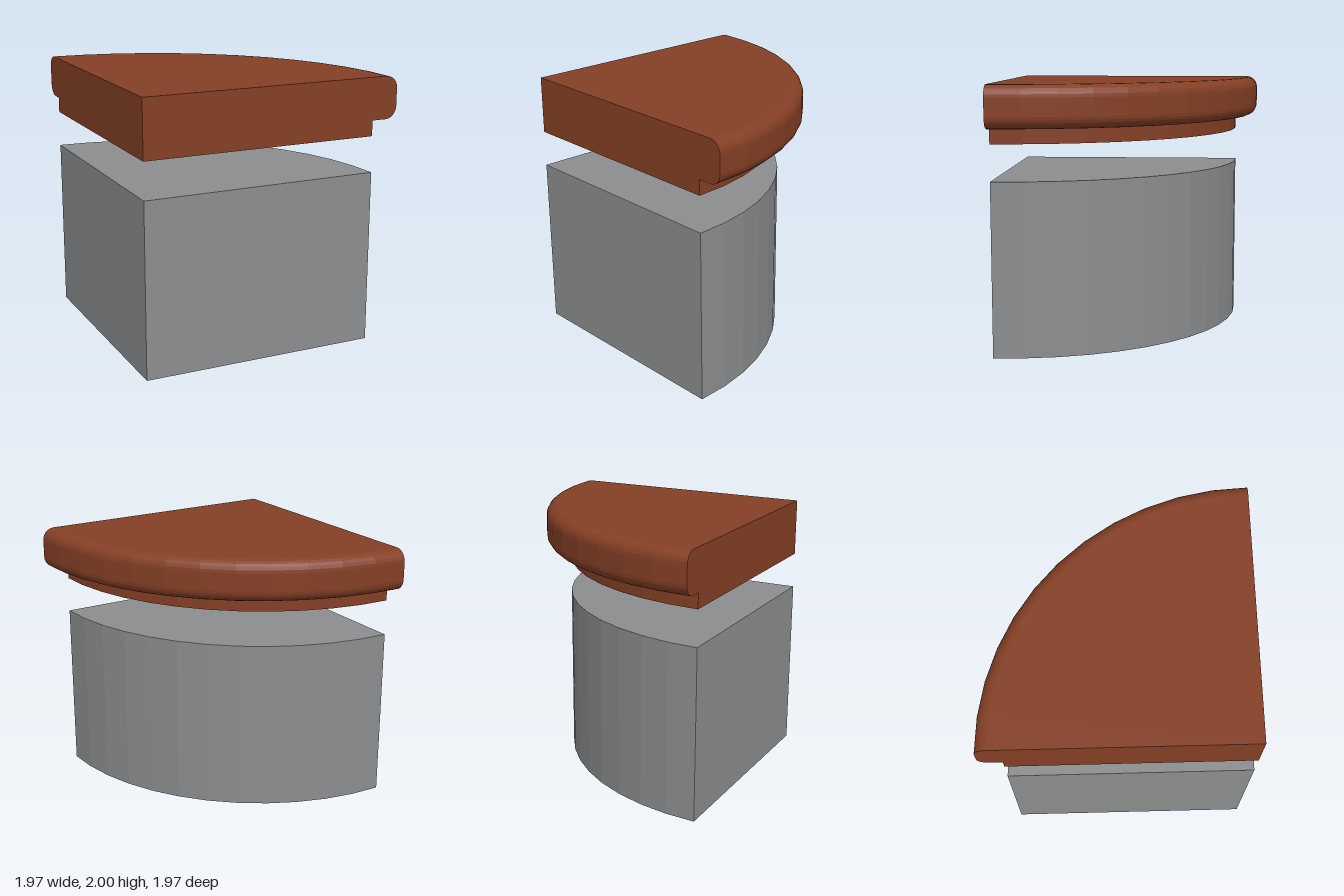
import * as THREE from 'three';

const SEGMENTS = 12;

// Quarter-round solid: outer profile (bottom to top) swept 90 degrees about
// the corner axis, with flat faces closing the two straight sides.
function quarterSolid(name, profile, material, depthScale = 1) {
  const pts = profile.map(([r, y]) => new THREE.Vector2(r, y));
  const outline = [
    new THREE.Vector2(0, pts[0].y), ...pts, new THREE.Vector2(0, pts[pts.length - 1].y),
  ];
  const group = new THREE.Group();
  group.name = name;
  const add = (part, geometry) => {
    const mesh = new THREE.Mesh(geometry, material);
    mesh.name = name + part;
    group.add(mesh);
  };
  add('Curve', new THREE.LatheGeometry(outline, SEGMENTS, Math.PI / 2, Math.PI / 2).toNonIndexed());
  add('FrontFace', new THREE.ShapeGeometry(new THREE.Shape(outline)));
  const mirrored = outline.map((p) => new THREE.Vector2(-p.x, p.y)).reverse();
  add('SideFace', new THREE.ShapeGeometry(new THREE.Shape(mirrored)).rotateY(-Math.PI / 2));
  group.children.forEach((m) => m.geometry.computeVertexNormals());
  group.scale.z = depthScale;
  group.position.set(-0.988, 0, 0.985);
  return group;
}

// Slab edge with rounded upper and lower corners
function roundedEdge(radius, bottom, top, fillet, steps = 6) {
  const pts = [];
  for (const [cy, start] of [[bottom + fillet, -Math.PI / 2], [top - fillet, 0]]) {
    for (let i = 0; i <= steps; i++) {
      const a = start + (i / steps) * Math.PI / 2;
      pts.push([radius - fillet + fillet * Math.cos(a), cy + fillet * Math.sin(a)]);
    }
  }
  return pts;
}

export function createModel() {
  const grey = new THREE.MeshStandardMaterial({ color: 0x8b8d8e });
  grey.name = 'grey';
  const brown = new THREE.MeshStandardMaterial({ color: 0x843f25 });
  brown.name = 'brown';

  const model = new THREE.Group();
  model.name = 'quarterRoundBlockWithLid';
  model.add(
    quarterSolid('base', [[1.78, 0], [1.78, 1.3]], grey, 1.01),
    // Floating lid: narrow plug below a rounded slab
    quarterSolid('lidPlug', [[1.775, 1.57], [1.775, 1.685]], brown, 1.012),
    quarterSolid('lidSlab', roundedEdge(1.973, 1.685, 2, 0.09), brown),
  );
  return model;
}
